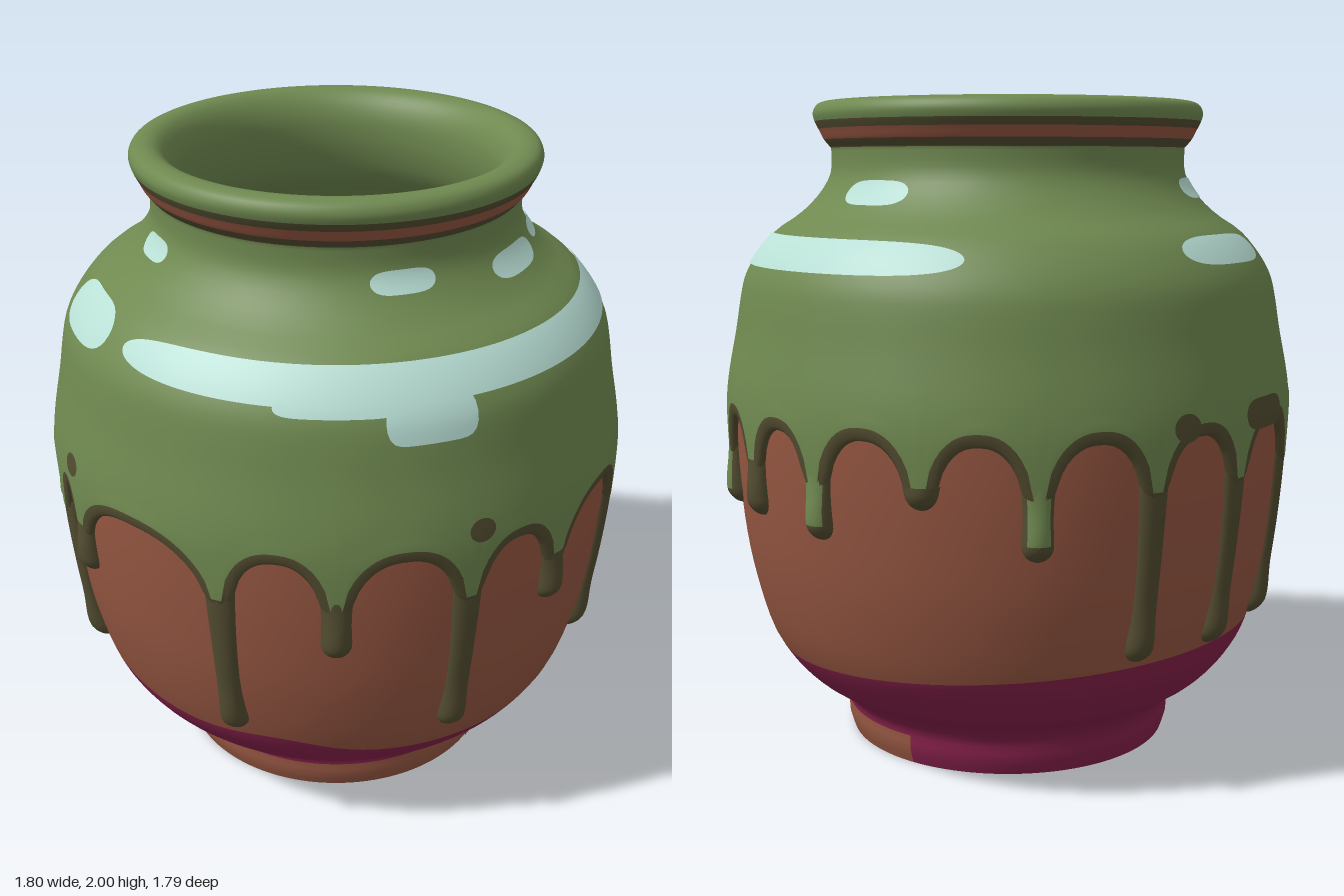
import * as THREE from 'three';

const mat = (name, color) => Object.assign(new THREE.MeshStandardMaterial({ color }), { name });
const glaze = mat('green glaze', 0x6f8950);
const clay = mat('terracotta clay', 0x955641);
const plum = mat('plum slip', 0x85204a);
const olive = mat('dark olive glaze edge', 0x524c30);
const shine = mat('pale highlight', 0xb9e0d6);

// Outer profile as radius over height
const profile = new THREE.SplineCurve([
  [0.51, 0], [0.525, 0.05], [0.528, 0.11], [0.575, 0.16], [0.66, 0.22], [0.73, 0.3], [0.78, 0.4],
  [0.83, 0.6], [0.855, 0.8], [0.867, 1], [0.865, 1.2], [0.84, 1.4], [0.81, 1.5], [0.735, 1.6],
  [0.65, 1.66], [0.59, 1.72], [0.555, 1.78], [0.55, 1.84], [0.555, 1.87],
].map(p => new THREE.Vector2(...p))).getPoints(300);

function radius(y) {
  let i = 1;
  while (i < profile.length - 1 && profile[i].y < y) i++;
  const a = profile[i - 1], b = profile[i];
  return THREE.MathUtils.mapLinear(y, a.y, b.y, a.x, b.x);
}
const thickness = y => (y < 0.9 ? 0 : 0.024 * (1 - THREE.MathUtils.smoothstep(y, 1.05, 1.35)));

// Grid of quads; point(u, v) gives [angle in degrees, radius, y], pick(i, j) the material index
function grid(name, nu, nv, point, mats, pick = () => 0, wrap = false) {
  const pos = [], lists = mats.map(() => []), cols = wrap ? nu : nu + 1;
  for (let j = 0; j <= nv; j++) for (let i = 0; i < cols; i++) {
    const [deg, r, y] = point(i / nu, j / nv, j);
    const a = deg * Math.PI / 180;
    pos.push(r * Math.sin(a), y, r * Math.cos(a));
  }
  for (let j = 0; j < nv; j++) for (let i = 0; i < nu; i++) {
    const k = (i + 1) % cols, a = j * cols + i, b = j * cols + k;
    lists[pick(i, j)].push(a, b, b + cols, a, b + cols, a + cols);
  }
  const geo = new THREE.BufferGeometry();
  geo.setAttribute('position', new THREE.Float32BufferAttribute(pos, 3));
  geo.setIndex(lists.flat());
  let start = 0;
  lists.forEach((l, m) => { geo.addGroup(start, l.length, m); start += l.length; });
  geo.computeVertexNormals();
  const mesh = new THREE.Mesh(geo, mats);
  mesh.name = name;
  return mesh;
}

// Drips: angle, bottom height, green middle
const DRIPS = [
  [-1, 0.42], [20, 0.79], [49, 0.42], [74, 0.77, 1], [93, 0.79], [113, 0.77, 1], [135, 0.89],
  [156, 0.75, 1], [178, 0.42], [199, 0.42], [224, 0.42], [246, 0.78, 1], [264, 0.43], [275, 0.79],
  [312, 0.42], [334, 0.76],
];

// Scalloped lower edge of the glaze; inset moves it into the glaze
function edge(deg, inset) {
  const d = ((deg + 1) % 360 + 360) % 360 - 1;
  let i = DRIPS.length - 1;
  while (i > 0 && DRIPS[i][0] > d) i--;
  const a = DRIPS[i][0], b = i + 1 < DRIPS.length ? DRIPS[i + 1][0] : 359;
  const half = (b - a) / 2, open = half - (inset ? 1 : 2.7);
  const s = Math.min(1, Math.abs(d - a - half) / open);
  const base = 0.91 + inset * 0.5, top = 1.02 + 0.055 * Math.min(1, half / 12) + inset;
  return base + (top - base) * Math.pow(1 - Math.pow(s, 2.4), 0.6);
}

// Clay body with a plum lower zone
function clayBody() {
  const plumTop = deg => 0.36 - 0.055 * Math.cos((deg - 40) * Math.PI / 180)
    + 0.04 * Math.exp(-(((deg - 322) / 14) ** 2));
  const point = (u, v, j) => {
    const deg = u * 360;
    const m = plumTop(deg);
    const y = j <= 4 ? 0.09 * j / 4 : j <= 18 ? 0.09 + (m - 0.09) * (j - 4) / 14 : m + (1.2 - m) * (j - 18) / 20;
    return [deg, radius(y), y];
  };
  const pick = (i, j) => (j < 4 ? (i * 2 > 115 && i * 2 < 235 ? 1 : 0) : j < 18 ? 1 : 0);
  return grid('clayBody', 180, 38, point, [clay, plum], pick, true);
}

// Glaze coat: scalloped skirt, shoulder, rolled lip and inside wall
function glazeCoat() {
  const rim = new THREE.SplineCurve([
    [0.551, 1.86], [0.572, 1.885], [0.585, 1.91], [0.6, 1.94], [0.605, 1.967], [0.59, 1.992], [0.555, 2],
    [0.52, 1.988], [0.49, 1.95], [0.475, 1.89], [0.485, 1.8], [0.53, 1.7], [0.64, 1.6], [0.73, 1.48],
    [0.79, 1.2], [0.79, 0.8], [0.73, 0.45], [0.6, 0.25], [0.5, 0.2],
  ].map(p => new THREE.Vector2(...p))).getPoints(72);
  const SKIRT = 12, WALL = 22, total = SKIRT + WALL + rim.length;
  const point = (u, v, j) => {
    const deg = u * 360;
    if (j <= SKIRT) {
      const e = edge(deg, 0), f = Math.max(edge(deg, 0.04), e + 0.02);
      const y = j < 4 ? e + (f - e) * [0, 0.05, 0.35, 1][j] : f + (1.35 - f) * (j - 3) / (SKIRT - 3);
      const off = j < 4 ? [-0.005, 0.012, 0.022, 0.024][j] : thickness(y);
      return [deg, radius(y) + off, y];
    }
    if (j <= SKIRT + WALL) {
      const y = 1.35 + 0.5 * (j - SKIRT) / WALL;
      return [deg, radius(y), y];
    }
    const p = rim[j - SKIRT - WALL - 1];
    return [deg, p.x, p.y];
  };
  // Olive edge below, worn clay band with olive borders under the lip
  const pick = (i, j) => {
    if (j < 3) return 1;
    const k = j - SKIRT - WALL - 1;
    if (k < 0 || k >= 12) return 0;
    return k >= 4 && k < 9 ? 2 : 1;
  };
  return grid('glazeCoat', 360, total - 1 + 0, point, [glaze, olive, clay], pick, true);
}

// Running drip with a rounded bulb at its tip
function drip([deg, bottom, green]) {
  const top = 0.96;
  const point = (u, v) => {
    const s = -Math.cos(u * Math.PI), y = bottom + (top - bottom) * v ** 1.7, d = y - bottom;
    const round = d < 0.05 ? Math.sqrt(Math.max(0, 1 - (1 - d / 0.05) ** 2)) : 1;
    const w = round * (0.036 + 0.01 * Math.exp(-((d / 0.11) ** 2)) + 0.012 * v ** 4);
    const h = round * (0.026 + 0.02 * Math.exp(-(((d - 0.05) / 0.09) ** 2)));
    const r = radius(y);
    return [deg + s * w / r * 180 / Math.PI, r - 0.003 + h * Math.sqrt(Math.max(0, 1 - s * s)), y];
  };
  const pick = (i, j) => (green && j > 7 && i > 2 && i < 9 ? 1 : 0);
  return grid('glazeDrip', 12, 18, point, [olive, glaze], pick);
}

// Thin rounded patch of colour lying on the pot
function patch(name, material, a0, a1, y0, y1, power = 4) {
  const nu = Math.max(16, Math.ceil((a1 - a0) / 1.5));
  const point = (u, v) => {
    const s = -Math.cos(u * Math.PI), mid = (y0 + y1) / 2;
    const h = (y1 - y0) / 2 * Math.sqrt(Math.max(0, 1 - Math.abs(s) ** power));
    const y = mid + h * (2 * v - 1);
    return [(a0 + a1) / 2 + s * (a1 - a0) / 2, radius(y) + thickness(y) + 0.005, y];
  };
  return grid(name, nu, 8, point, [material]);
}

function disc(name, r, y, material, down) {
  const mesh = new THREE.Mesh(new THREE.CircleGeometry(r, 64), material);
  mesh.rotation.x = down ? Math.PI / 2 : -Math.PI / 2;
  mesh.position.y = y;
  mesh.name = name;
  return mesh;
}

export function createModel() {
  const pot = new THREE.Group();
  pot.name = 'glazedPot';
  pot.add(clayBody(), glazeCoat());
  pot.add(disc('base', 0.51, 0, clay, true), disc('insideFloor', 0.505, 0.2, olive, false));
  DRIPS.forEach(d => pot.add(drip(d)));

  // Shoulder highlights
  [
    [-75, 142, 1.512, 1.605, 14], [-17, 1, 1.41, 1.54, 8], [-38, -14, 1.488, 1.53, 8],
    [190, 224, 1.53, 1.61], [252, 279, 1.5, 1.62],
    [-17, 2, 1.73, 1.79], [22, 47, 1.7, 1.765], [52, 72, 1.72, 1.77], [98, 122, 1.695, 1.765],
    [213, 235, 1.71, 1.77], [262, 278, 1.72, 1.78],
  ].forEach(p => pot.add(patch('highlight', shine, ...p)));

  // Olive blemishes on the glaze and foot
  [
    [-2, 3.2, 1.105, 1.175, 2], [271, 276, 1.11, 1.18, 2], [200, 215, 1.06, 1.15, 5],
    [181, 187, 1.06, 1.14, 2], [30, 62, 0.004, 0.035, 4],
  ].forEach(p => pot.add(patch('blemish', olive, ...p)));
  return pot;
}
